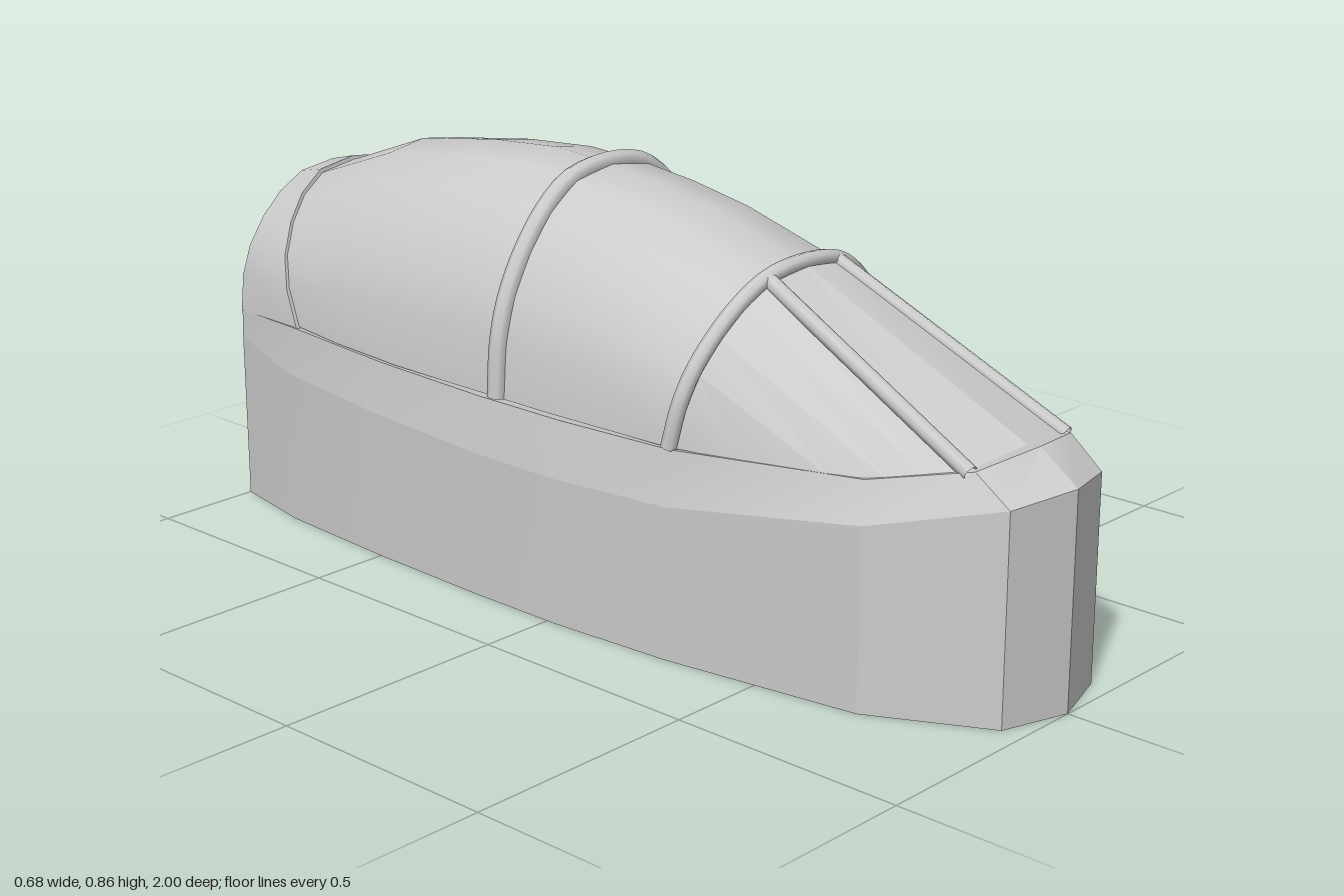
import * as THREE from 'three';
import { toCreasedNormals } from 'three/addons/utils/BufferGeometryUtils.js';

const material = new THREE.MeshStandardMaterial({ color: 0xcccccc, side: THREE.DoubleSide });
const V = (x, y, z) => new THREE.Vector3(x, y, z);

// Skin over rows of points; rows all have the same length
function loft(name, rows, crease) {
  const pos = [];
  const tri = (a, b, c) => {
    const area = b.clone().sub(a).cross(c.clone().sub(a)).length();
    if (area > 1e-7) for (const p of [a, b, c]) pos.push(p.x, p.y, p.z);
  };
  for (let i = 0; i < rows.length - 1; i++) {
    for (let j = 0; j < rows[i].length - 1; j++) {
      const a = rows[i][j], b = rows[i][j + 1], c = rows[i + 1][j + 1], d = rows[i + 1][j];
      tri(a, b, c);
      tri(a, c, d);
    }
  }
  const geo = new THREE.BufferGeometry();
  geo.setAttribute('position', new THREE.Float32BufferAttribute(pos, 3));
  const mesh = new THREE.Mesh(toCreasedNormals(geo, crease), material);
  mesh.name = name;
  return mesh;
}

function tube(name, points, radius, segments) {
  const curve = new THREE.CatmullRomCurve3(points);
  const mesh = new THREE.Mesh(new THREE.TubeGeometry(curve, segments, radius, 8), material);
  mesh.name = name;
  return mesh;
}

// Unit half arch from crown to sill, and the full arch at a (leaning) station
const half = [[0, 1], [0.33, 0.96], [0.56, 0.84], [0.74, 0.68], [0.89, 0.48], [0.97, 0.27], [1, 0]];
const mirrored = (pts, flip) => [...pts.slice(1).reverse().map(flip), ...pts];
const unitArch = mirrored(half, ([x, y]) => [-x, y]);
const arch = ([zSill, zTop, width, ySill, yTop]) => unitArch.map(([x, y]) =>
  V(x * width, ySill + (yTop - ySill) * y, zSill + (zTop - zSill) * y));
const flipX = (p) => V(-p.x, p.y, p.z);

export function createModel() {
  const group = new THREE.Group();

  // Hull outline from nose to tail: wall x, z, top y, then sill x, z, y
  const outline = [
    [0, 1, 0.435, 0, 0.915, 0.495],
    [0.14, 0.955, 0.42, 0.145, 0.88, 0.476],
    [0.262, 0.72, 0.365, 0.23, 0.7, 0.44],
    [0.322, 0.3, 0.31, 0.308, 0.3, 0.42],
    [0.34, 0.02, 0.302, 0.32, 0.02, 0.416],
    [0.34, -0.2, 0.302, 0.322, -0.2, 0.416],
    [0.331, -0.5, 0.312, 0.316, -0.5, 0.42],
    [0.312, -0.8, 0.328, 0.302, -0.8, 0.43],
    [0.272, -1, 0.36, 0.27, -1, 0.42],
  ];
  const ring = (fn) => {
    const pts = mirrored(outline.map(fn), flipX);
    return [...pts, pts[0]];
  };
  const bottom = ring(([x, z]) => V(x, 0, z));
  const wallTop = ring(([x, z, y]) => V(x, y, z));
  const sill = ring(([, , , x, z, y]) => V(x, y, z));
  const ledge = ring(([, , , x, z, y]) => V(x * 0.9, y - 0.005, z > 0.6 ? z - 0.04 : z));
  const centre = bottom.map(() => V(0, 0, 0));
  group.add(loft('hull', [centre, bottom, wallTop], 0.25));
  group.add(loft('sill', [wallTop, sill, ledge], 0.5));

  // Main canopy glass
  const frontStation = [0.29, 0.355, 0.3, 0.42, 0.73];
  const mainStation = [-0.16, -0.16, 0.312, 0.42, 0.84];
  group.add(loft('canopyGlass', [
    frontStation,
    [0.1, 0.13, 0.308, 0.42, 0.795],
    [-0.02, -0.02, 0.312, 0.42, 0.823],
    mainStation,
    [-0.3, -0.3, 0.312, 0.42, 0.848],
    [-0.46, -0.48, 0.31, 0.42, 0.835],
    [-0.65, -0.7, 0.303, 0.425, 0.803],
    [-0.79, -0.94, 0.29, 0.43, 0.715],
  ].map(arch), 0.6));

  // Rear rim with its flat end
  const tail = arch([-1, -1, 0.272, 0.42, 0.71]);
  group.add(loft('rearRim', [
    arch([-0.78, -0.925, 0.28, 0.42, 0.705]),
    arch([-0.78, -0.93, 0.3, 0.42, 0.728]),
    tail,
    tail.map(() => V(0, 0.42, -1)),
  ], 0.5));

  // Windshield: flat centre panel and two curved side panels
  const frontArch = arch(frontStation);
  const strutFoot = V(0.145, 0.47, 0.87);
  const foot = new THREE.CatmullRomCurve3([strutFoot, V(0.225, 0.437, 0.7), frontArch[12].clone()]);
  const halfFoot = [V(0, 0.488, 0.895), ...half.slice(1).map((_, i) => foot.getPoint(i / 5))];
  group.add(loft('windshield', [mirrored(halfFoot, flipX), frontArch], 0.3));

  // Frame hoops and windshield struts
  group.add(tube('frontHoop', frontArch, 0.017, 36));
  group.add(tube('mainHoop', arch(mainStation), 0.02, 36));
  for (const side of [-1, 1]) {
    const top = frontArch[6 + side];
    group.add(tube('windshieldStrut', [top, V(side * strutFoot.x, strutFoot.y, strutFoot.z)], 0.016, 1));
  }
  return group;
}
